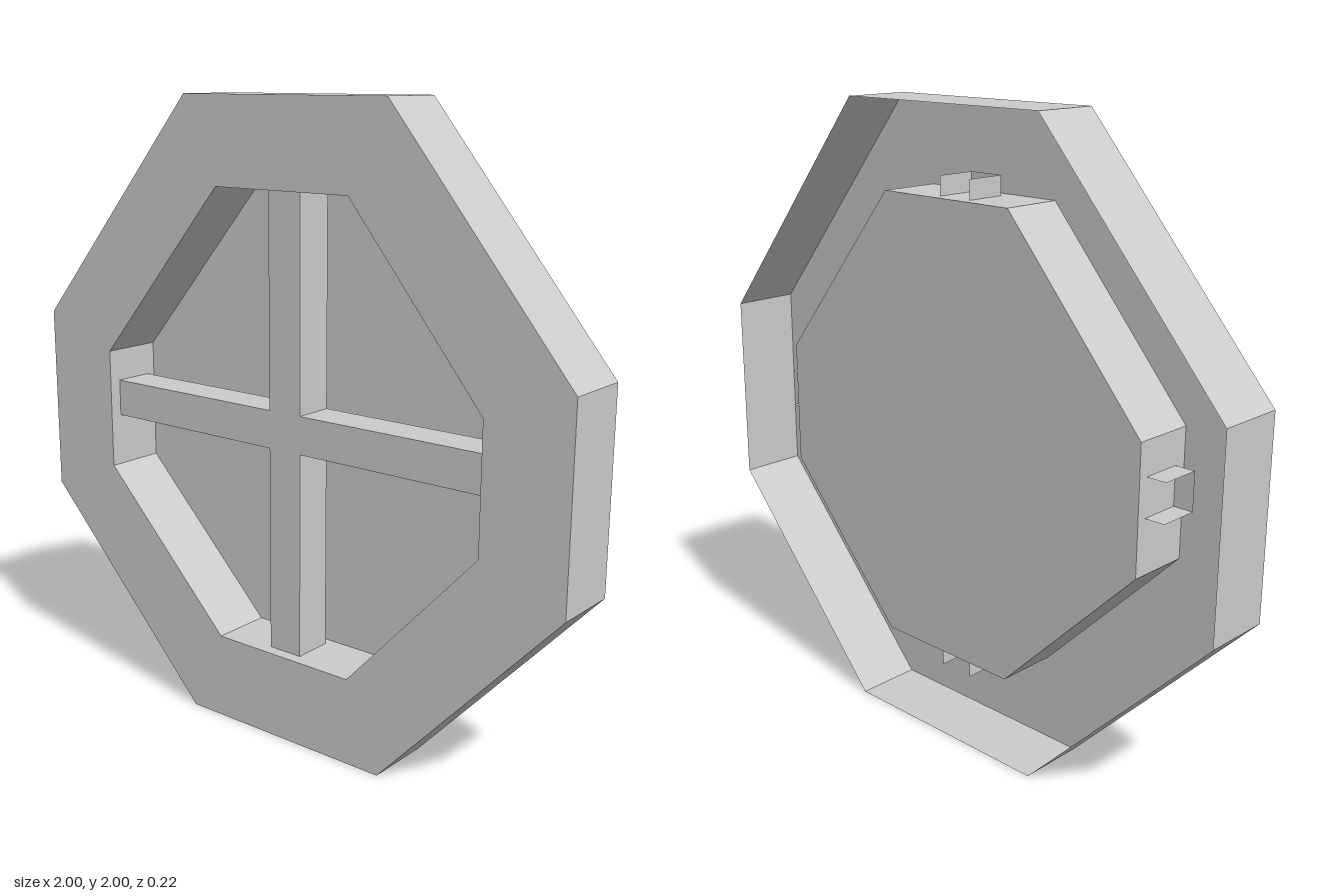
import * as THREE from 'three';

const material = new THREE.MeshStandardMaterial({
  color: 0xcccccc, flatShading: true, side: THREE.DoubleSide,
});

// Octagon outlines, clockwise from the top left
const outer = [[-0.36, 2], [0.395, 2], [1, 1.27], [1, 0.66], [0.395, 0], [-0.36, 0], [-1, 0.66], [-1, 1.27]];
const inner = [[-0.235, 1.73], [0.265, 1.73], [0.725, 1.17], [0.725, 0.77], [0.275, 0.28], [-0.24, 0.28], [-0.725, 0.77], [-0.725, 1.165]];

const FRONT = 0.11, BACK = -0.11;
const PLATE = -0.09;                       // floor of the recess
const BAR_FRONT = 0.07, BAR_BACK = -0.06;  // depth of the cross bars
const HALF = 0.06, REACH = 0.79;           // bar half width and half length

const toPoints = (list) => list.map(([x, y]) => new THREE.Vector2(x, y));

// Thin wall standing on an outline, running between two depths
function wall(outline, z0, z1, closed = true) {
  const pos = [];
  const n = outline.length;
  for (let i = 0; i < (closed ? n : n - 1); i++) {
    const [ax, ay] = outline[i];
    const [bx, by] = outline[(i + 1) % n];
    pos.push(ax, ay, z0, ax, ay, z1, bx, by, z1);
    pos.push(ax, ay, z0, bx, by, z1, bx, by, z0);
  }
  const geo = new THREE.BufferGeometry();
  geo.setAttribute('position', new THREE.Float32BufferAttribute(pos, 3));
  geo.computeVertexNormals();
  return geo;
}

// Flat face at a given depth, with an optional hole
function face(outline, z, hole) {
  const shape = new THREE.Shape(toPoints(outline));
  if (hole) shape.holes.push(new THREE.Path(toPoints(hole)));
  return new THREE.ShapeGeometry(shape).translate(0, 0, z);
}

export function createModel() {
  const model = new THREE.Group();
  model.name = 'octagonalWindow';
  const add = (name, geo, parent = model) => {
    const mesh = new THREE.Mesh(geo, material);
    mesh.name = name;
    parent.add(mesh);
    return mesh;
  };

  // Frame: hollow shell, open at the back
  add('frameFace', face(outer, FRONT, inner));
  add('frameOuterWall', wall(outer, BACK, FRONT));

  // Recess behind the opening
  add('recessWall', wall(inner, PLATE, FRONT));
  add('recessPlate', face(inner, PLATE));

  // Cross bars: open-backed channels whose open ends pass through the recess wall
  const bars = new THREE.Group();
  bars.name = 'crossBars';
  bars.position.y = 1;
  model.add(bars);
  const corner = [[HALF, REACH], [HALF, HALF], [REACH, HALF]];
  const cross = [];
  for (let i = 0; i < 4; i++) {
    const a = -i * Math.PI / 2;
    const c = Math.round(Math.cos(a)), s = Math.round(Math.sin(a));
    const turned = corner.map(([x, y]) => [x * c - y * s, x * s + y * c]);
    cross.push(...turned);
    add('barSides', wall(turned, BAR_BACK, BAR_FRONT, false), bars);
  }
  add('barFace', face(cross, BAR_FRONT), bars);

  return model;
}
